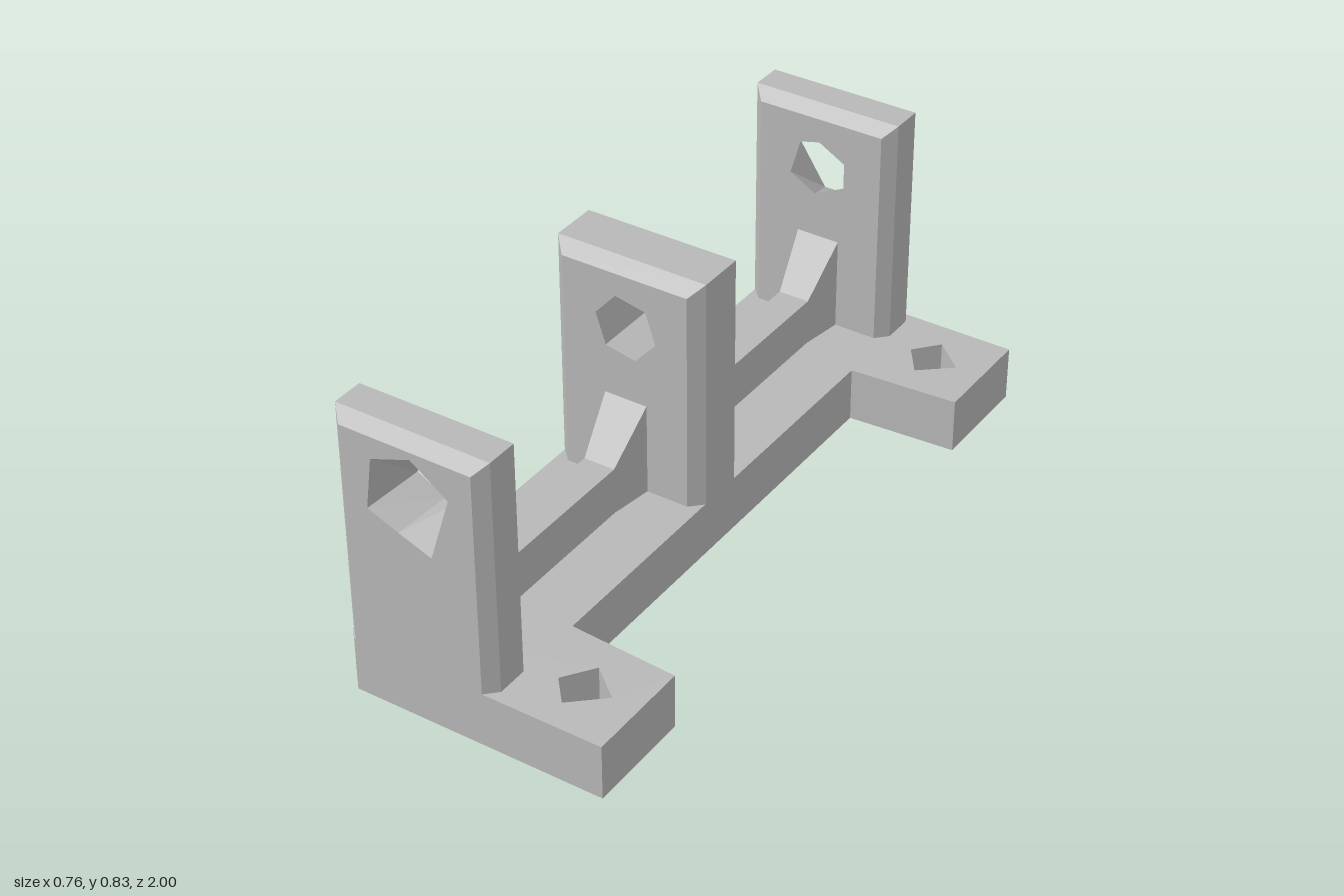
import * as THREE from 'three';

const metal = new THREE.MeshStandardMaterial({ color: 0xb8b8b8 });
metal.name = 'plain grey';

// Walls between matching 2D loops stacked along z (anticlockwise loops face out, clockwise face in)
function loft(out, loops, zs) {
  for (let k = 0; k < loops.length - 1; k++) {
    const a = loops[k], b = loops[k + 1], n = a.length;
    for (let i = 0; i < n; i++) {
      const j = (i + 1) % n;
      const p = [...a[i], zs[k]], q = [...a[j], zs[k]];
      const r = [...b[j], zs[k + 1]], s = [...b[i], zs[k + 1]];
      out.push(...p, ...q, ...r, ...p, ...r, ...s);
    }
  }
}

// Flat face with holes, facing +z or (flipped) -z
function cap(out, outline, holes, z, flip) {
  const toV = (l) => l.map(([x, y]) => new THREE.Vector2(x, y));
  const points = [outline, ...holes].flat();
  for (const t of THREE.ShapeUtils.triangulateShape(toV(outline), holes.map(toV))) {
    for (const i of flip ? [t[0], t[2], t[1]] : t) out.push(...points[i], z);
  }
}

function makeMesh(name, out) {
  const g = new THREE.BufferGeometry();
  g.setAttribute('position', new THREE.Float32BufferAttribute(out, 3));
  g.computeVertexNormals();
  const m = new THREE.Mesh(g, metal);
  m.name = name;
  return m;
}

// Upright plate with chamfered sides and top, and a bore that may taper
function post(name, z0, z1, chamfer, holeBack, holeFront) {
  const out = [];
  const outline = (i) => [[-0.382 + i, 0.15], [0.066 - i, 0.15], [0.066 - i, 0.834 - i], [-0.382 + i, 0.834 - i]];
  const inner = outline(chamfer), full = outline(0);
  loft(out, [inner, full, full, inner], [z0, z0 + chamfer, z1 - chamfer, z1]);
  loft(out, [holeBack, holeFront], [z0, z1]);
  cap(out, inner, [holeBack], z0, true);
  cap(out, inner, [holeFront], z1, false);
  return makeMesh(name, out);
}

// Foot plate with two side tabs, screw holes and a recess underneath (drawn flat, then laid down)
function base() {
  const out = [];
  const outline = [
    [-0.355, -1], [0.38, -1], [0.38, -0.69], [0.065, -0.67],
    [0.065, 0.67], [0.38, 0.69], [0.38, 1], [-0.355, 1], [-0.382, 0.97], [-0.382, -0.97],
  ];
  const hole = [[0.15, 0.85], [0.21, 0.92], [0.3, 0.84], [0.21, 0.765]];
  const mirrored = hole.map(([x, y]) => [x, -y]).reverse();
  const recess = [[-0.34, -0.9], [-0.34, 0.9], [-0.02, 0.9], [-0.02, -0.9]];
  const h = 0.16, depth = 0.12;
  for (const l of [outline, hole, mirrored]) loft(out, [l, l], [0, h]);
  loft(out, [recess, recess], [0, depth]);
  cap(out, outline, [hole, mirrored], h, false);
  cap(out, outline, [hole, mirrored, recess], 0, true);
  cap(out, [...recess].reverse(), [], depth, true);
  const m = makeMesh('base', out);
  m.geometry.rotateX(-Math.PI / 2);
  return m;
}

// Rib between two posts, flaring up into a gusset at both ends
function rib(name, sign) {
  const section = (w, top) => [[-0.157 - w, 0.15], [-0.157 + w, 0.15], [-0.157 + w, top], [-0.157 - w, top]];
  const wide = section(0.065, 0.435), slim = section(0.046, 0.298);
  let zs = [0.1, 0.23, 0.72, 0.845];
  if (sign < 0) zs = zs.map((z) => -z).reverse();
  const out = [];
  loft(out, [wide, slim, slim, wide], zs);
  return makeMesh(name, out);
}

export function createModel() {
  const model = new THREE.Group();
  model.name = 'bracket';

  // Bore outlines, all clockwise with six corners
  const bore = [[-0.25, 0.61], [-0.22, 0.715], [-0.16, 0.73], [-0.08, 0.685], [-0.08, 0.61], [-0.17, 0.565]];
  const frontMouth = [[-0.28, 0.587], [-0.26, 0.737], [-0.142, 0.78], [-0.036, 0.705], [-0.095, 0.515], [-0.19, 0.551]];
  const backMouth = [[-0.33, 0.64], [-0.25, 0.78], [-0.07, 0.77], [0, 0.65], [-0.08, 0.49], [-0.23, 0.49]];
  const middleBore = [];
  for (let i = 0; i < 6; i++) {
    const a = Math.PI - 0.2 - i * Math.PI / 3;
    middleBore.push([-0.155 + 0.093 * Math.cos(a), 0.645 + 0.093 * Math.sin(a)]);
  }

  model.add(
    base(),
    post('frontPost', 0.843, 1, 0.033, bore, frontMouth),
    post('middlePost', -0.1, 0.106, 0.035, middleBore, middleBore),
    post('backPost', -1, -0.843, 0.033, backMouth, bore),
    rib('frontRib', 1),
    rib('backRib', -1),
  );
  return model;
}
